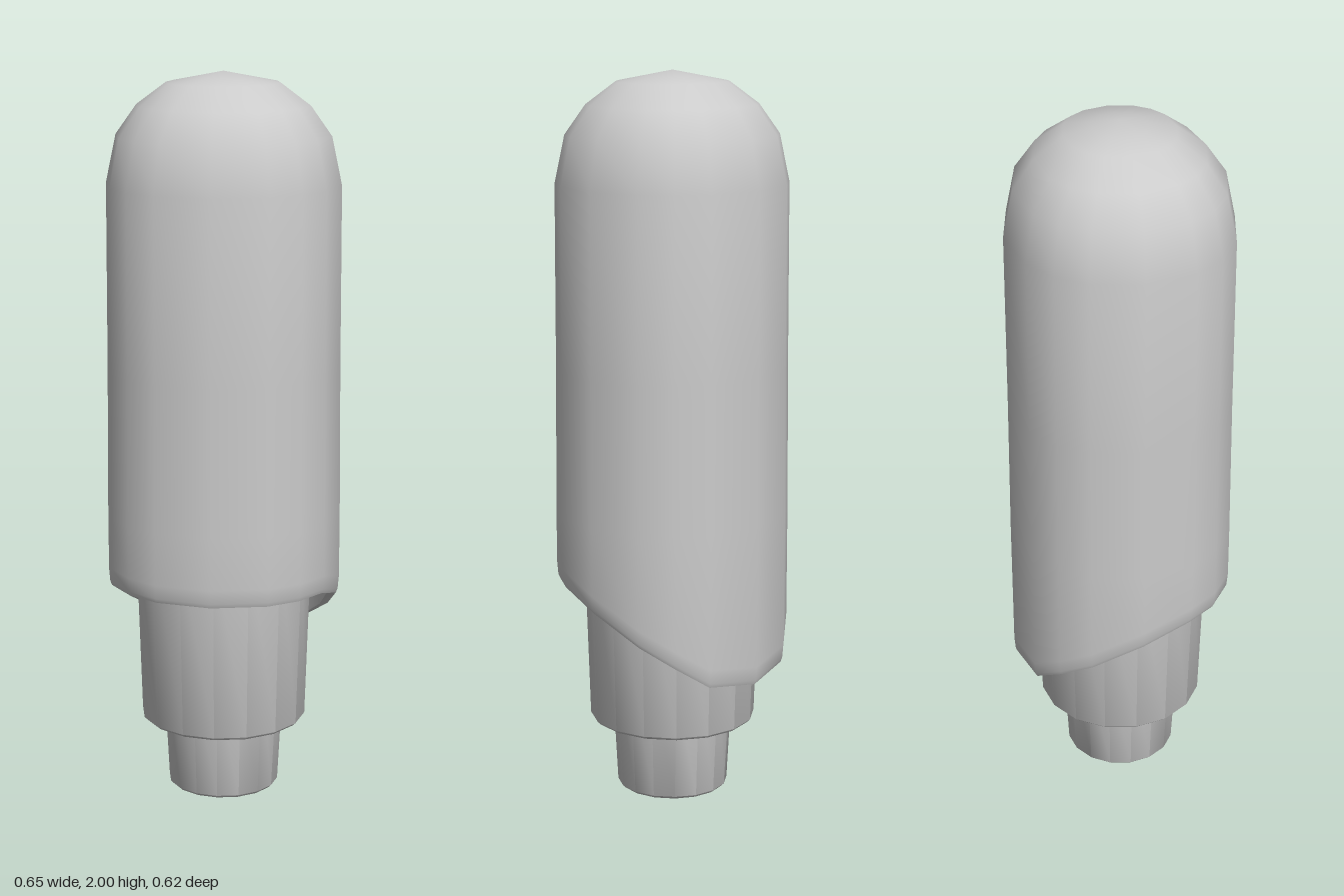
import * as THREE from 'three';
import { toCreasedNormals } from 'three/addons/utils/BufferGeometryUtils.js';

const material = new THREE.MeshStandardMaterial({ color: 0xcccccc });

function addMesh(group, name, geometry) {
  const mesh = new THREE.Mesh(toCreasedNormals(geometry, 0.8), material);
  mesh.name = name;
  group.add(mesh);
}

// 16-sided outline: half of it [x, z, height of the lower rim], mirrored to the other side
const half = [
  [0, 0.31, 0.605], [0.153, 0.277, 0.605], [0.234, 0.22, 0.605], [0.291, 0.14, 0.605], [0.323, 0, 0.565],
  [0.291, -0.14, 0.49], [0.234, -0.22, 0.435], [0.153, -0.277, 0.375], [0, -0.31, 0.355],
];
const outline = [...half, ...half.slice(1, -1).reverse().map(([x, z, y]) => [-x, z, y])];

// Rows of [scale, height]; the flag "rim" measures the height from the slanted rim
const rows = [
  [0, 2], [0.235, 1.985], [0.474, 1.97], [0.724, 1.91], [0.9, 1.83], [0.985, 1.7], [0.99, 1.2], [1, 0.8],
  [1, 0.05, 'rim'], [0.99, 0.012, 'rim'], [0.975, 0, 'rim'],
  [0.9, 0, 'rim'], [0.88, 0.02, 'rim'], [0.88, 0.75], [0, 0.75],
];

function shellGeometry() {
  const positions = [], index = [], n = outline.length;
  for (const [scale, height, rim] of rows) {
    for (const [x, z, edge] of outline) {
      positions.push(x * scale, rim ? edge + height : height, z * scale);
    }
  }
  for (let r = 0; r < rows.length - 1; r++) {
    for (let i = 0; i < n; i++) {
      const j = (i + 1) % n;
      const a = r * n + i, b = (r + 1) * n + i, c = (r + 1) * n + j, d = r * n + j;
      if (rows[r + 1][0] > 0) index.push(a, b, c);
      else index.push(a, b, d);
      if (rows[r][0] > 0 && rows[r + 1][0] > 0) index.push(a, c, d);
    }
  }
  const geometry = new THREE.BufferGeometry();
  geometry.setAttribute('position', new THREE.Float32BufferAttribute(positions, 3));
  geometry.setIndex(index);
  return geometry;
}

// Hollow tapered tube, closed by a ceiling inside
function tubeGeometry(bottom, top, innerBottom, innerTop, y0, y1, ceiling) {
  const profile = [
    [0, ceiling], [innerTop, ceiling], [innerBottom, y0 + 0.01], [innerBottom + 0.01, y0],
    [bottom - 0.008, y0], [bottom, y0 + 0.008], [top, y1],
  ];
  return new THREE.LatheGeometry(profile.map(([r, y]) => new THREE.Vector2(r, y)), 16);
}

export function createModel() {
  const group = new THREE.Group();
  group.name = 'model';
  // Domed cover with a tongue at the back
  addMesh(group, 'cover', shellGeometry());
  // Two nested sleeves below it
  addMesh(group, 'sleeve', tubeGeometry(0.23, 0.247, 0.19, 0.195, 0.2, 0.75, 0.35));
  addMesh(group, 'nozzle', tubeGeometry(0.154, 0.172, 0.122, 0.13, 0, 0.35, 0.3));
  return group;
}
